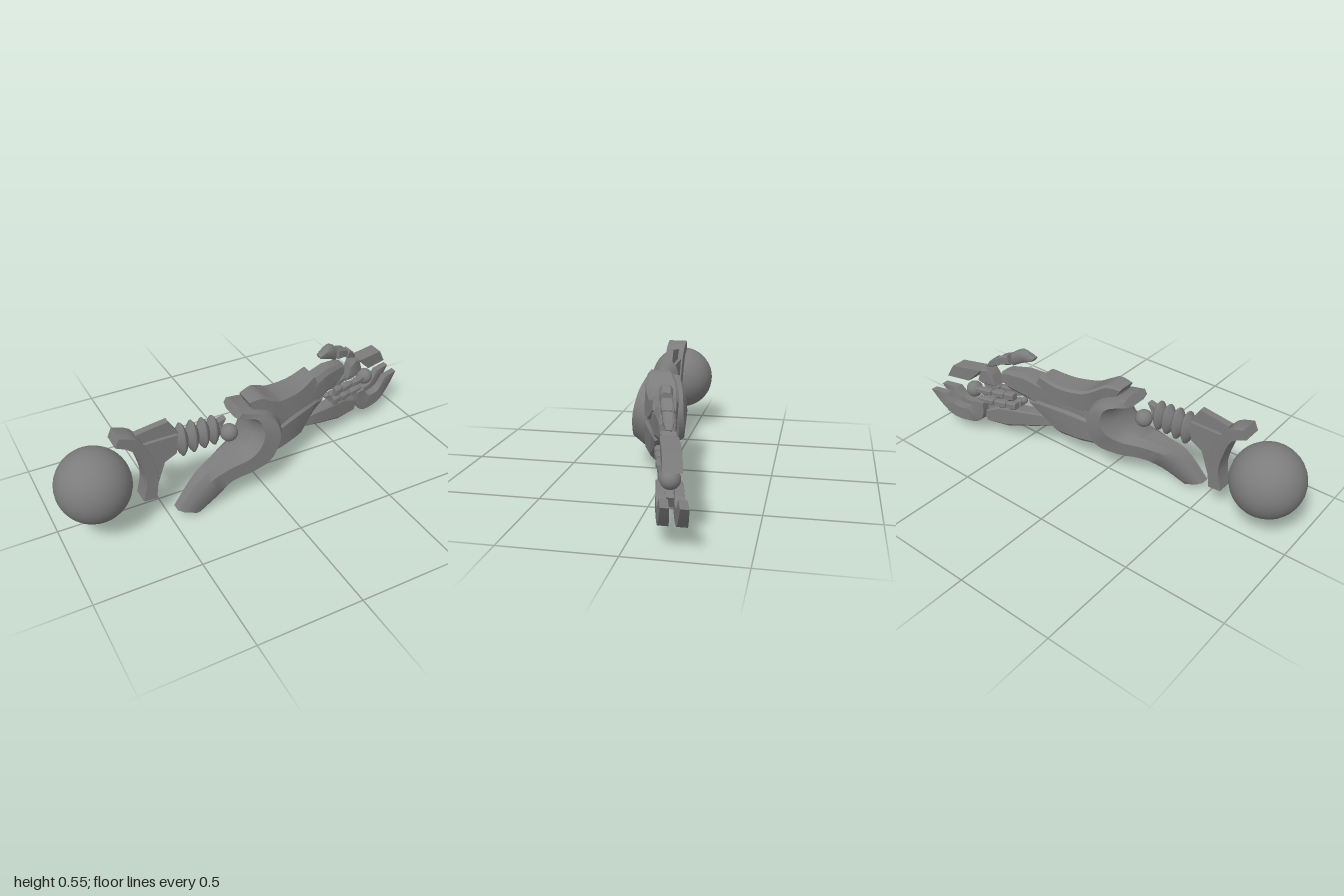
import * as THREE from 'three';
import { toCreasedNormals } from 'three/addons/utils/BufferGeometryUtils.js';

const material = new THREE.MeshStandardMaterial({ color: 0x7c7c7c });

// The forearm and hand angle backwards along this line
const axisZ = (x) => 0.05 - 0.265 * x;

// Adds in-between stations along a Catmull-Rom curve
function smooth(stations, steps = 5) {
  const at = (i) => stations[Math.min(Math.max(i, 0), stations.length - 1)];
  const result = [];
  for (let i = 0; i < stations.length - 1; i++) {
    for (let s = 0; s < steps; s++) {
      const t = s / steps;
      result.push(at(i).map((b, j) => {
        const a = at(i - 1)[j], c = at(i + 1)[j], d = at(i + 2)[j];
        return b + 0.5 * t * (c - a + t * (2 * a - 5 * b + 4 * c - d + t * (3 * (b - c) + d - a)));
      }));
    }
  }
  return [...result, at(stations.length)];
}

// Chamfered-rectangle sections; each station is [x1, y1, x2, y2, halfWidth, centreZ?]
function loft(stations, { cut = 0.15, offset = 0, crease = 0.5 } = {}) {
  const c = cut, k = 1 - 2 * cut;
  const section = [[c, -1], [0, -k], [0, k], [c, 1], [1 - c, 1], [1, k], [1, -k], [1 - c, -1]];
  const rings = stations.map(([x1, y1, x2, y2, w, zc]) => section.map(([u, s]) => {
    const x = x1 + (x2 - x1) * u;
    return new THREE.Vector3(x, y1 + (y2 - y1) * u, (zc ?? axisZ(x)) + offset + s * w);
  }));
  const n = section.length, tris = [];
  for (let i = 0; i < rings.length - 1; i++) {
    for (let j = 0; j < n; j++) {
      const a = rings[i][j], b = rings[i][(j + 1) % n];
      const d = rings[i + 1][j], e = rings[i + 1][(j + 1) % n];
      tris.push([a, b, e], [a, e, d]);
    }
  }
  const last = rings[rings.length - 1];
  for (let j = 1; j < n - 1; j++) {
    tris.push([rings[0][0], rings[0][j + 1], rings[0][j]], [last[0], last[j], last[j + 1]]);
  }
  // Turn the faces outwards whichever way the path runs
  const cross = new THREE.Vector3();
  const volume = tris.reduce((sum, [a, b, d]) => sum + a.dot(cross.crossVectors(b, d)), 0);
  const points = tris.flatMap((t) => (volume < 0 ? [t[0], t[2], t[1]] : t));
  const geometry = new THREE.BufferGeometry().setFromPoints(points);
  return toCreasedNormals(geometry, crease);
}

function plate(points, depth, z) {
  const shape = new THREE.Shape(points.map(([x, y]) => new THREE.Vector2(x, y)));
  return new THREE.ExtrudeGeometry(shape, { depth, bevelEnabled: false }).translate(0, 0, z - depth / 2);
}

export function createModel() {
  const model = new THREE.Group();
  const add = (name, geometry) => {
    const mesh = new THREE.Mesh(geometry, material);
    mesh.name = name;
    model.add(mesh);
    return mesh;
  };
  const ball = (name, r, x, y, z) => add(name, new THREE.SphereGeometry(r, 32, 20)).position.set(x, y, z);

  // Joint balls
  ball('shoulderBall', 0.173, -0.828, 0.28, 0.092);
  ball('elbowBall', 0.043, -0.155, 0.33, 0.08);
  ball('wristBall', 0.018, 0.49, 0.25, -0.08);
  ball('palmBall', 0.043, 0.78, 0.243, -0.155);

  // Shoulder bracket with its hub and thin fin
  add('shoulderBracket', loft(smooth([
    [-0.705, 0.518, -0.725, 0.475, 0.049, 0.095], [-0.625, 0.485, -0.655, 0.435, 0.049, 0.095],
    [-0.57, 0.39, -0.622, 0.36, 0.046, 0.095], [-0.54, 0.27, -0.6, 0.27, 0.044, 0.095],
    [-0.545, 0.2, -0.602, 0.21, 0.044, 0.095], [-0.555, 0.13, -0.62, 0.135, 0.044, 0.095],
  ], 3), { cut: 0.02 }));
  add('upperArmHub', plate([[-0.6, 0.435], [-0.43, 0.435], [-0.44, 0.34], [-0.5, 0.31], [-0.54, 0.2], [-0.59, 0.22]], 0.07, 0.092));
  add('upperArmFin', plate([[-0.62, 0.485], [-0.465, 0.508], [-0.42, 0.435], [-0.5, 0.3], [-0.58, 0.3]], 0.034, 0.092));

  // Ribbed upper arm: four lens-shaped discs on a core, flattened from side to side
  const profile = [[0, -0.45], [0.04, -0.45], [0.04, -0.428]];
  [-0.4, -0.346, -0.292, -0.242].forEach((x, i) => {
    const r = 0.087 - i * 0.003;
    profile.push([r * 0.82, x - 0.014], [r, x - 0.003], [r, x + 0.003], [r * 0.82, x + 0.014], [0.04, x + 0.026]);
  });
  profile.push([0.04, -0.21], [0, -0.2]);
  const ribs = new THREE.LatheGeometry(profile.map(([r, y]) => new THREE.Vector2(r, y)), 28);
  ribs.rotateZ(-Math.PI / 2).scale(1, 1, 0.6).translate(0, 0.378, 0.088);
  add('ribbedUpperArm', toCreasedNormals(ribs, 0.6));
  add('upperArmTip', plate([[-0.23, 0.42], [-0.18, 0.432], [-0.215, 0.37], [-0.235, 0.3]], 0.035, 0.088));

  // Curling elbow guard, narrow at the tip and wrapping the forearm
  add('elbowGuard', loft(smooth([
    [-0.36, 0.001, -0.475, 0.055, 0.036, 0.158], [-0.26, 0.056, -0.355, 0.18, 0.052, 0.14],
    [-0.17, 0.1, -0.22, 0.226, 0.078, 0.107], [-0.065, 0.112, -0.105, 0.25, 0.108, 0.077],
    [0.05, 0.15, -0.055, 0.305, 0.128, 0.053], [0.11, 0.28, -0.045, 0.36, 0.125, 0.045],
    [0.055, 0.4, -0.068, 0.405, 0.108, 0.042], [-0.11, 0.462, -0.135, 0.42, 0.08, 0.055],
  ]), { cut: 0.22, crease: 0.65 }));

  // Forearm core, raised upper shell and lower panel
  add('forearmCore', loft([
    [-0.05, 0.45, -0.02, 0.2, 0.05], [0.05, 0.42, 0.01, 0.15, 0.072], [0.15, 0.4, 0.25, 0.15, 0.066],
    [0.36, 0.42, 0.34, 0.24, 0.055], [0.46, 0.438, 0.435, 0.285, 0.046],
    [0.56, 0.425, 0.555, 0.32, 0.037], [0.585, 0.41, 0.588, 0.35, 0.034],
  ], { cut: 0.18 }));
  add('forearmShell', loft(smooth([
    [-0.067, 0.488, -0.02, 0.4, 0.05, 0.058], [0, 0.497, 0.04, 0.36, 0.062, 0.047],
    [0.06, 0.465, 0.1, 0.32, 0.076, 0.03], [0.125, 0.436, 0.18, 0.315, 0.077, 0.01],
    [0.25, 0.428, 0.28, 0.335, 0.068, -0.02], [0.355, 0.452, 0.377, 0.4, 0.053, -0.047],
  ], 4), { cut: 0.1 }));
  add('forearmLowerPanel', loft([
    [0.1, 0.29, 0.005, 0.142, 0.083], [0.2, 0.31, 0.14, 0.134, 0.08],
    [0.38, 0.32, 0.25, 0.136, 0.063], [0.44, 0.29, 0.335, 0.222, 0.047],
  ], { cut: 0.15 }));

  // Thumb in three pieces
  add('thumbBase', loft(smooth([
    [0.413, 0.518, 0.425, 0.498, 0.018], [0.48, 0.547, 0.475, 0.482, 0.028], [0.528, 0.526, 0.525, 0.455, 0.027],
  ], 4), { cut: 0.2, crease: 0.8 }));
  add('thumbMiddle', loft([[0.55, 0.51, 0.54, 0.455, 0.027], [0.59, 0.495, 0.58, 0.448, 0.029], [0.615, 0.475, 0.606, 0.442, 0.024]]));
  add('thumbTip', loft([[0.63, 0.474, 0.605, 0.437, 0.025], [0.66, 0.447, 0.645, 0.418, 0.023], [0.685, 0.412, 0.675, 0.406, 0.013]]));

  // Upper finger
  add('upperKnuckle', loft([
    [0.645, 0.375, 0.623, 0.312, 0.03], [0.668, 0.404, 0.66, 0.312, 0.037], [0.7, 0.395, 0.7, 0.312, 0.034], [0.72, 0.345, 0.728, 0.32, 0.028],
  ], { cut: 0.08 }));
  add('upperFinger', loft([[0.697, 0.392, 0.775, 0.312, 0.04], [0.858, 0.383, 0.898, 0.312, 0.04]], { cut: 0.02 }));

  // Lower finger and its joint
  add('lowerJoint', loft([[0.32, 0.25, 0.27, 0.2, 0.028], [0.345, 0.25, 0.3, 0.185, 0.034], [0.38, 0.22, 0.345, 0.18, 0.028]], { cut: 0.22 }));
  add('lowerFinger', loft([
    [0.27, 0.19, 0.265, 0.172, 0.02], [0.38, 0.208, 0.34, 0.148, 0.034], [0.5, 0.198, 0.43, 0.122, 0.037],
    [0.62, 0.19, 0.57, 0.084, 0.037], [0.715, 0.138, 0.682, 0.082, 0.035],
  ], { cut: 0.1 }));

  // Paired hooked claws
  for (const [name, offset] of [['leftClaw', 0.038], ['rightClaw', -0.038]]) {
    add(name, loft(smooth([
      [0.69, 0.203, 0.74, 0.206, 0.018], [0.698, 0.115, 0.765, 0.163, 0.021], [0.75, 0.076, 0.79, 0.148, 0.023],
      [0.86, 0.079, 0.845, 0.15, 0.023], [0.93, 0.128, 0.878, 0.172, 0.021], [0.997, 0.21, 0.905, 0.21, 0.018],
    ], 4), { cut: 0.02, offset }));
  }

  // Small jointed inner fingers
  [[0.275, 0.035], [0.275, -0.03], [0.213, 0.024], [0.213, -0.02]].forEach(([y, offset]) => {
    [[0.52, 0.572], [0.577, 0.642], [0.649, 0.735]].forEach(([x1, x2], i) => {
      const h = 0.024 - i * 0.003, drop = i * 0.003;
      add('innerFingerSegment', loft([
        [x1, y + h * 0.8 - drop, x1, y - h * 0.8 - drop, 0.016],
        [(x1 + x2) / 2, y + h - drop, (x1 + x2) / 2, y - h - drop, 0.021],
        [x2, y + h * 0.7 - drop, x2, y - h * 0.7 - drop, 0.015],
      ], { cut: 0.2, offset }));
    });
  });

  return model;
}
